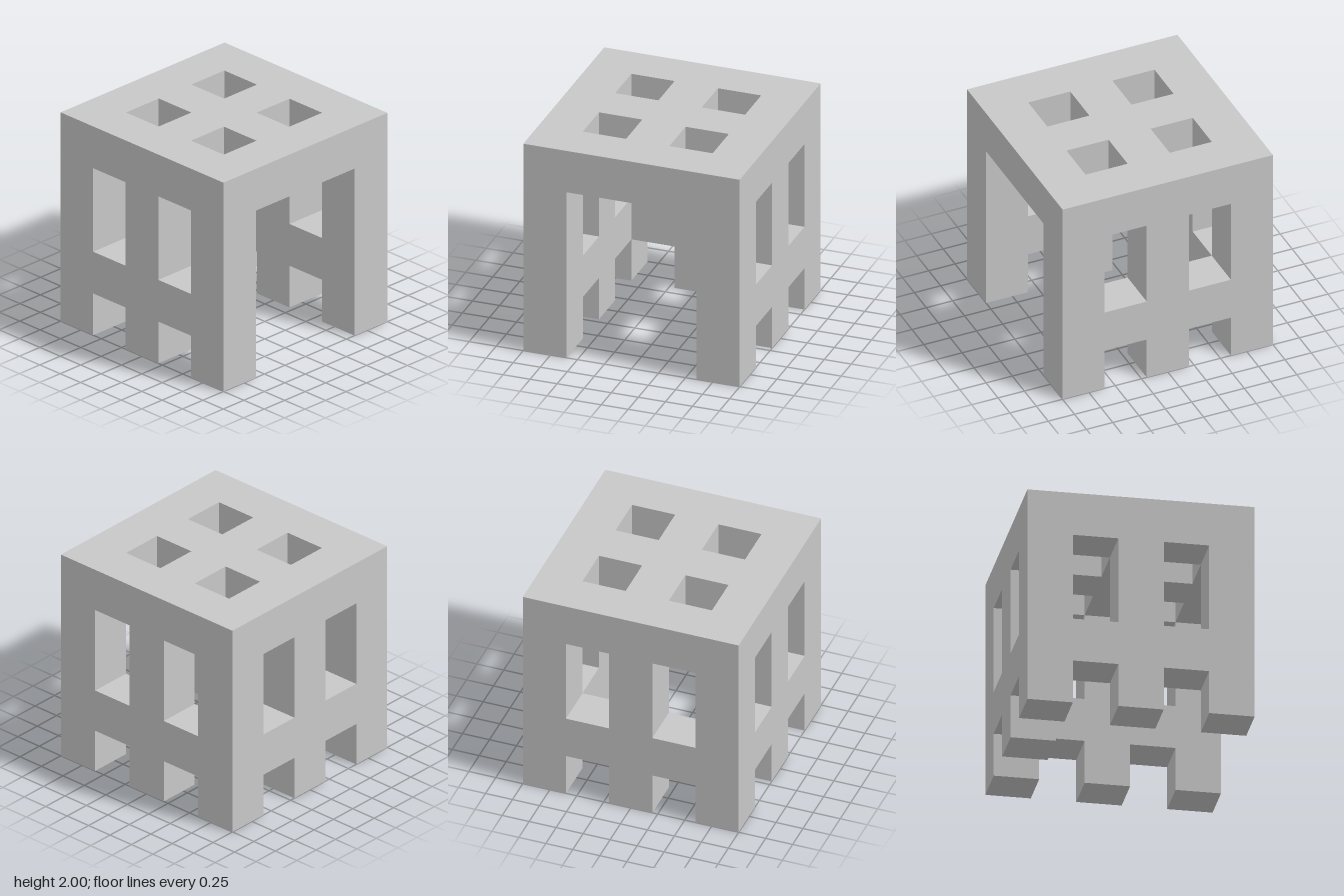
import * as THREE from 'three';
import { mergeGeometries } from 'three/addons/utils/BufferGeometryUtils.js';

const N = 5;        // cells along each edge of the cube
const CELL = 0.4;   // wall thickness, post width and window width

// The part that fills a cell (x, y, z), or null where the cell is open
function partAt(x, y, z) {
  if ([x, y, z].some((c) => c < 0 || c >= N)) return null;
  // Roof slab with four square holes
  if (y === N - 1) return x % 2 === 1 && z % 2 === 1 ? null : 'roof';
  // Walls have posts on the even cells, tied by a rail one cell above the ground
  const rail = y === 1;
  if (x === 0) return rail || z % 2 === 0 ? 'rightWall' : null;
  if (x === N - 1) return rail || z % 2 === 0 ? 'leftWall' : null;
  if (z === 0) return rail || x % 2 === 0 ? 'backWall' : null;
  return null; // hollow inside, open doorway at the front
}

// Outward direction of each cell face, with the plane's turn about x and y
const H = Math.PI / 2;
const FACES = [
  { d: [1, 0, 0], rx: 0, ry: H },
  { d: [-1, 0, 0], rx: 0, ry: -H },
  { d: [0, 1, 0], rx: -H, ry: 0 },
  { d: [0, -1, 0], rx: H, ry: 0 },
  { d: [0, 0, 1], rx: 0, ry: 0 },
  { d: [0, 0, -1], rx: 0, ry: Math.PI },
];

// Only the exposed faces of one part, so the joined parts form a single clean shell
function partGeometry(name) {
  const planes = [];
  for (let x = 0; x < N; x++) for (let y = 0; y < N; y++) for (let z = 0; z < N; z++) {
    if (partAt(x, y, z) !== name) continue;
    for (const { d, rx, ry } of FACES) {
      if (partAt(x + d[0], y + d[1], z + d[2])) continue;
      planes.push(new THREE.PlaneGeometry(CELL, CELL)
        .rotateX(rx).rotateY(ry)
        .translate(
          (x + 0.5 + d[0] / 2) * CELL - 1,
          (y + 0.5 + d[1] / 2) * CELL,
          (z + 0.5 + d[2] / 2) * CELL - 1,
        ));
    }
  }
  return mergeGeometries(planes);
}

export function createModel() {
  const group = new THREE.Group();
  group.name = 'latticeCube';
  const grey = new THREE.MeshStandardMaterial({ color: 0xc8c8c8 });
  grey.name = 'lightGrey';

  for (const name of ['roof', 'leftWall', 'rightWall', 'backWall']) {
    const mesh = new THREE.Mesh(partGeometry(name), grey);
    mesh.name = name;
    group.add(mesh);
  }
  return group;
}
